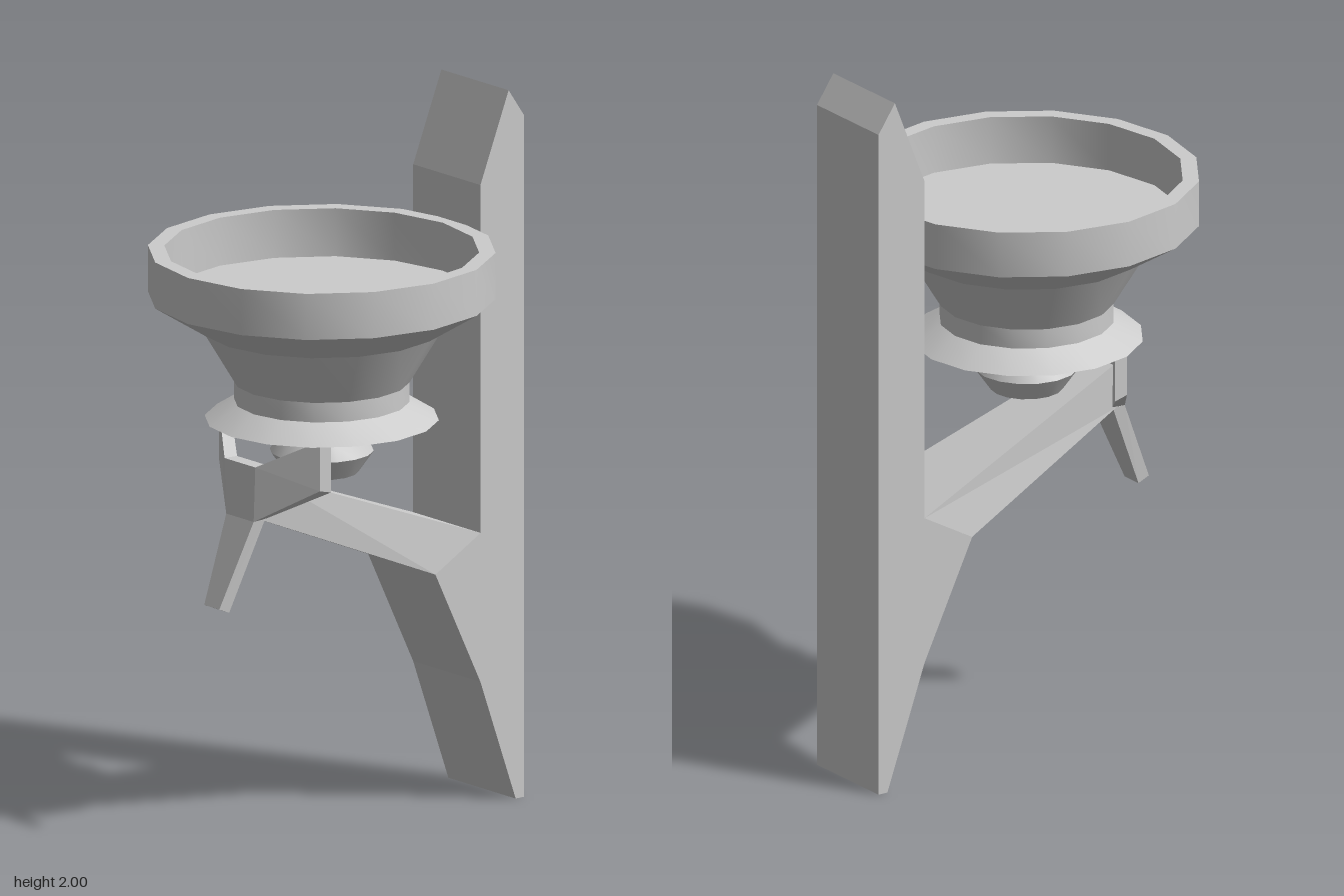
import * as THREE from 'three';
import { toCreasedNormals } from 'three/addons/utils/BufferGeometryUtils.js';

const material = new THREE.MeshStandardMaterial({ color: 0xcccccc });
const flat = new THREE.MeshStandardMaterial({ color: 0xcccccc, flatShading: true });

function add(parent, name, geometry, mat) {
  const mesh = new THREE.Mesh(geometry, mat);
  mesh.name = name;
  parent.add(mesh);
  return mesh;
}

// Solid through a series of four-cornered sections, counter-clockwise about the path.
function loft(sections) {
  const pos = [];
  const quad = (a, b, c, d) => [a, b, c, a, c, d].forEach(p => pos.push(...p));
  for (let s = 0; s + 1 < sections.length; s++) {
    const a = sections[s], b = sections[s + 1];
    for (let i = 0; i < 4; i++) {
      const j = (i + 1) % 4;
      quad(a[i], a[j], b[j], b[i]);
    }
  }
  const first = sections[0], last = sections[sections.length - 1];
  quad(first[3], first[2], first[1], first[0]);
  quad(...last);
  const g = new THREE.BufferGeometry();
  g.setAttribute('position', new THREE.Float32BufferAttribute(pos, 3));
  g.computeVertexNormals();
  return g;
}

const lathe = profile => toCreasedNormals(
  new THREE.LatheGeometry(profile.map(p => new THREE.Vector2(...p)), 16), 0.42);

export function createModel() {
  const root = new THREE.Group();
  root.name = 'wallTorch';
  const cx = -0.022; // bracket centre line

  // Wall post with pointed top, tapered foot and gusset, drawn as (z, y)
  const outline = [[-0.545, 0], [-0.515, 0], [-0.39, 0.35], [-0.23, 0.68], [-0.39, 0.77],
    [-0.39, 1.75], [-0.49, 2], [-0.545, 1.92]];
  const post = new THREE.ExtrudeGeometry(
    new THREE.Shape(outline.map(p => new THREE.Vector2(...p))),
    { depth: 0.285, bevelEnabled: false });
  post.rotateY(-Math.PI / 2).translate(0.12, 0, 0);
  add(root, 'wallPost', post, flat);

  // Strut narrowing from the post to the fork
  const strutSection = (half, zb, yb, zt, yt) => [
    [cx - half, yb, zb], [cx + half, yb, zb], [cx + half, yt, zt], [cx - half, yt, zt]];
  add(root, 'strut', loft([
    strutSection(0.1425, -0.23, 0.68, -0.39, 0.77),
    strutSection(0.06, 0.315, 0.91, 0.315, 1.04),
  ]), flat);

  // Fork: two arms swept back and up from a central plate
  const forkEnd = s => [[1.15, 0.2], [1.15, 0.24], [1.01, 0.24], [1.0, 0.2]]
    .map(([y, z]) => [cx + s * 0.213, y, z]);
  const forkMiddle = s => [[0.06, 1.065, 0.305], [0.065, 1.065, 0.345], [0.058, 0.91, 0.345], [0.055, 0.91, 0.305]]
    .map(([h, y, z]) => [cx + s * h, y, z]);
  add(root, 'fork', loft([forkEnd(-1), forkMiddle(-1), forkMiddle(1), forkEnd(1)]), flat);

  // Prong hanging forward from the fork
  const prongSection = (half, zb, yb, zf, yf) => [
    [cx - half, yb, zb], [cx + half, yb, zb], [cx + half, yf, zf], [cx - half, yf, zf]];
  add(root, 'prong', loft([
    prongSection(0.058, 0.305, 0.91, 0.345, 0.91),
    prongSection(0.032, 0.41, 0.66, 0.445, 0.675),
  ]), flat);

  // Fire bowl with its flared collar
  const bowl = new THREE.Group();
  bowl.name = 'bowlAssembly';
  bowl.position.z = 0.073;
  root.add(bowl);
  add(bowl, 'bowl', lathe([[0, 1.15], [0.32, 1.15], [0.24, 1.2], [0.24, 1.255], [0.33, 1.405],
    [0.475, 1.495], [0.475, 1.625], [0.43, 1.625], [0.43, 1.49], [0, 1.49]]), material);

  // Knob under the bowl, dished at the bottom
  add(bowl, 'knob', lathe([[0, 1.03], [0.055, 1.0], [0.1, 1.0], [0.142, 1.06],
    [0.115, 1.1], [0.115, 1.16]]), material);

  return root;
}
